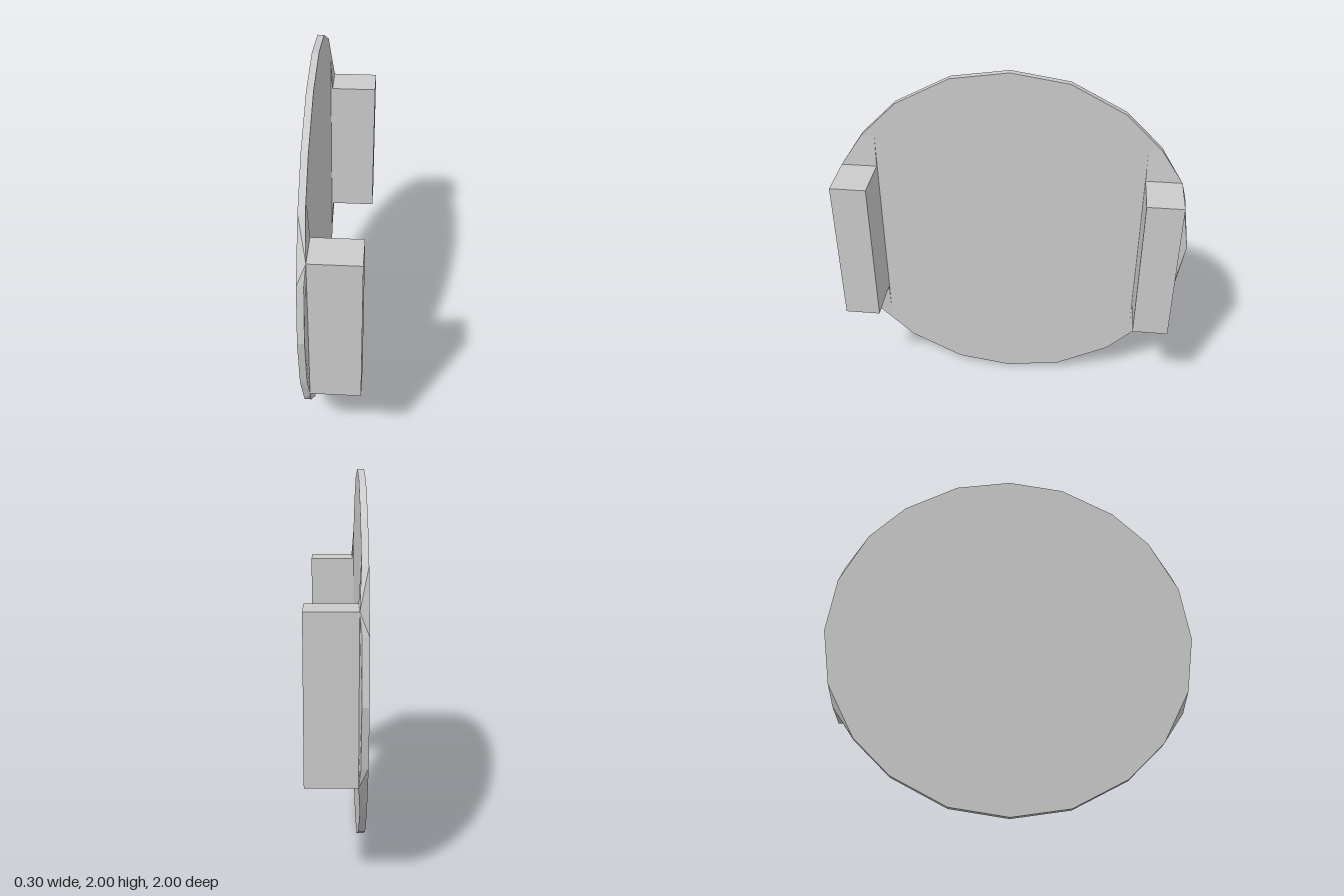
import * as THREE from 'three';
import { ConvexGeometry } from 'three/addons/geometries/ConvexGeometry.js';

const BACK = -0.15, FACE = -0.115, PAD = -0.105, TIP = 0.15;
const BLOCK = { inner: 0.73, outer: 0.925, half: 0.42 };

// One quarter of the rim as [z, height above centre], from top to side
const QUARTER = [[0, 1], [0.31, 0.953], [0.604, 0.798], [0.8, 0.604], [0.953, 0.31], [1, 0]];

export function createModel() {
  const model = new THREE.Group();
  const material = new THREE.MeshStandardMaterial({ color: 0xcccccc, flatShading: true });
  const add = (name, geometry) => {
    const mesh = new THREE.Mesh(geometry, material);
    mesh.name = name;
    model.add(mesh);
    return mesh;
  };

  // Faceted disc, mirrored from the quarter rim and extruded along x
  const half = [...QUARTER, ...QUARTER.slice(0, -1).reverse().map(([z, y]) => [z, -y])];
  const rim = [...half, ...half.slice(1, -1).reverse().map(([z, y]) => [-z, y])];
  const outline = new THREE.Shape(rim.map(([z, y]) => new THREE.Vector2(z, y)));
  const disc = add('disc', new THREE.ExtrudeGeometry(outline, { depth: FACE - BACK, bevelEnabled: false })
    .rotateY(Math.PI / 2));
  disc.position.set(BACK, 1, 0);

  for (const [side, s] of [['front', 1], ['rear', -1]]) {
    // Slightly raised pad that blends the block into the rim
    const points = [];
    for (const v of [1, -1]) {
      for (const [z, y] of QUARTER.slice(3)) {
        for (const x of [BACK, FACE]) points.push(new THREE.Vector3(x, 1 + v * y, s * z));
      }
      points.push(new THREE.Vector3(FACE, 1 + v * 0.604, s * BLOCK.inner));
      for (const z of [BLOCK.inner, BLOCK.outer]) {
        points.push(new THREE.Vector3(PAD, 1 + v * BLOCK.half, s * z));
      }
    }
    add(side + 'Pad', new ConvexGeometry(points));

    // Upright block standing off the disc
    const width = BLOCK.outer - BLOCK.inner;
    const block = add(side + 'Block', new THREE.BoxGeometry(TIP - PAD, 2 * BLOCK.half, width));
    block.position.set((TIP + PAD) / 2, 1, s * (BLOCK.inner + width / 2));
  }
  return model;
}
